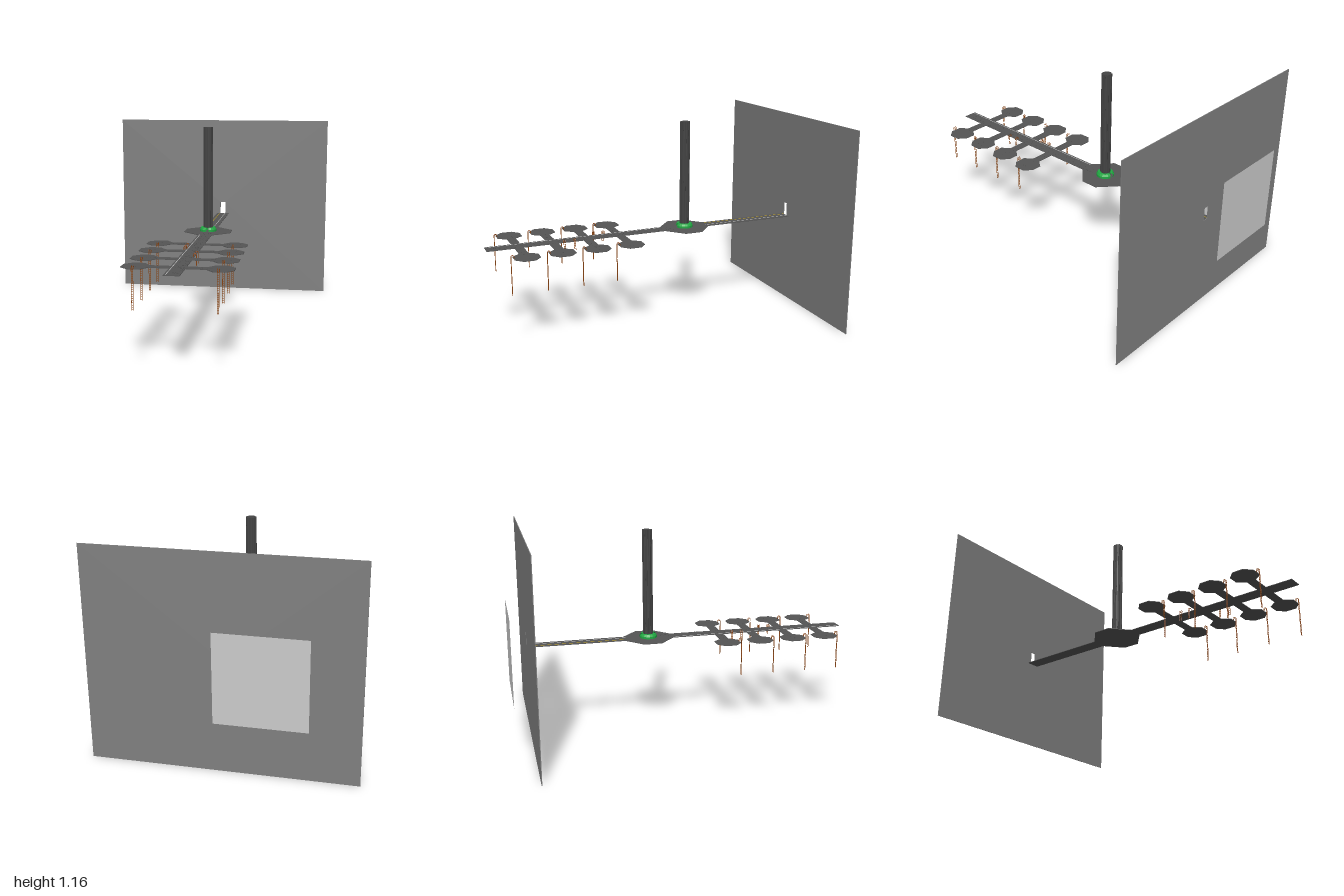
import * as THREE from 'three';
import { mergeGeometries } from 'three/addons/utils/BufferGeometryUtils.js';

const DECK_Y = 0.528, DECK_T = 0.003;
const WALL_Z = -0.895, HUB_Z = -0.2;
const BRANCH_Z = [0.217, 0.413, 0.611, 0.807];

const paint = (color, side = THREE.FrontSide) =>
  new THREE.MeshStandardMaterial({ color, side, flatShading: true });

function addMesh(parent, name, geometry, material) {
  const mesh = new THREE.Mesh(geometry, material);
  mesh.name = name;
  parent.add(mesh);
  return mesh;
}

// One half of the deck outline, walked from the wall to the front end
function halfOutline() {
  const pts = [[0.04, WALL_Z], [0.04, HUB_Z - 0.14], [0.14, HUB_Z - 0.05],
    [0.14, HUB_Z + 0.05], [0.04, HUB_Z + 0.14]];
  for (const z of BRANCH_Z) {
    pts.push([0.04, z - 0.025], [0.145, z - 0.025], [0.18, z - 0.07], [0.24, z - 0.07],
      [0.282, z - 0.032], [0.282, z + 0.032], [0.24, z + 0.07], [0.18, z + 0.07],
      [0.145, z + 0.025], [0.04, z + 0.025]);
  }
  pts.push([0.04, 0.983]);
  return pts;
}

function deckGeometry() {
  const half = halfOutline();
  const other = half.map(([x, z]) => [-x, z]).reverse();
  const shape = new THREE.Shape([...half, ...other].map(([x, z]) => new THREE.Vector2(x, -z)));
  const geo = new THREE.ExtrudeGeometry(shape, { depth: DECK_T, bevelEnabled: false });
  return geo.rotateX(-Math.PI / 2).translate(0, DECK_Y - DECK_T, 0);
}

// Ladder whose two rails hook backwards over a deck edge
function ladderGeometry(bottom) {
  const parts = [];
  const path = new THREE.CurvePath();
  const p = [[bottom, 0], [0.537, 0], [0.544, -0.004], [0.544, -0.012], [0.537, -0.016], [DECK_Y, -0.016]]
    .map(([y, z]) => new THREE.Vector3(0, y, z));
  for (let i = 1; i < p.length; i++) path.add(new THREE.LineCurve3(p[i - 1], p[i]));
  for (const x of [-0.0045, 0.0045]) {
    for (const line of path.curves) {
      parts.push(new THREE.TubeGeometry(line, 1, 0.0014, 5).translate(x, 0, 0));
    }
  }
  for (let y = bottom + 0.006; y < 0.535; y += 0.011) {
    parts.push(new THREE.BoxGeometry(0.009, 0.002, 0.002).translate(0, y, 0));
  }
  return mergeGeometries(parts);
}

// Small flat stones scattered over one side of the walkway and the arms
function rubbleGeometry() {
  let seed = 7;
  const rand = () => (seed = (seed * 16807) % 2147483647) / 2147483647;
  const parts = [];
  const stone = (x, z) => {
    const s = 0.002 + 0.003 * rand();
    parts.push(new THREE.BoxGeometry(s, 0.0015, s).rotateY(rand() * 3)
      .translate(x, DECK_Y + 0.0005, z));
  };
  for (let i = 0; i < 260; i++) stone(-0.012 + 0.048 * rand(), -0.14 + 1.11 * rand());
  for (const z of BRANCH_Z) {
    for (let i = 0; i < 30; i++) stone((rand() - 0.5) * 0.5, z + (rand() - 0.5) * 0.04);
  }
  return mergeGeometries(parts);
}

export function createModel() {
  const root = new THREE.Group();
  root.name = 'skyPlatform';
  const deckGrey = paint(0x555555), wallGrey = paint(0x808080);
  const green = paint(0x22aa44, THREE.DoubleSide), dark = paint(0x444444);
  const brown = paint(0x8b4513), yellow = paint(0xccaa22), pale = paint(0xcccccc);

  // Back wall with a small doorway
  const wall = new THREE.Shape([[-0.7, 0], [0.7, 0], [0.7, 1.163], [-0.7, 1.163]]
    .map(([x, y]) => new THREE.Vector2(x, y)));
  wall.holes.push(new THREE.Path([[-0.016, DECK_Y], [-0.016, 0.605], [0.016, 0.605], [0.016, DECK_Y]]
    .map(([x, y]) => new THREE.Vector2(x, y))));
  addMesh(root, 'backWall', new THREE.ExtrudeGeometry(wall, { depth: 0.004, bevelEnabled: false }), wallGrey)
    .position.z = WALL_Z - 0.002;

  // Free-standing panel behind the wall, facing backwards
  const panel = addMesh(root, 'rearPanel', new THREE.PlaneGeometry(0.472, 0.476), pale);
  panel.position.set(-0.217, 0.562, -1);
  panel.rotation.y = Math.PI;

  // Walkway, hub and side pads
  addMesh(root, 'deck', deckGeometry(), deckGrey);
  addMesh(root, 'rubble', rubbleGeometry(), deckGrey);

  // Painted lines
  const line = (name, x, z0, z1, material) =>
    addMesh(root, name, new THREE.BoxGeometry(0.003, 0.001, z1 - z0), material)
      .position.set(x, DECK_Y + 0.0003, (z0 + z1) / 2);
  line('yellowLine', -0.021, WALL_Z, HUB_Z - 0.13, yellow);
  line('paleLine', 0.016, WALL_Z, HUB_Z - 0.13, pale);
  line('frontLine', -0.029, HUB_Z + 0.14, 0.98, pale);

  // Fluted tower
  const tower = new THREE.Group();
  tower.name = 'tower';
  tower.position.z = HUB_Z;
  root.add(tower);
  const columns = [new THREE.CylinderGeometry(0.026, 0.026, 0.605, 12)];
  for (let i = 0; i < 10; i++) {
    const a = (i / 10) * Math.PI * 2;
    columns.push(new THREE.CylinderGeometry(0.005, 0.005, 0.605, 6)
      .translate(Math.sin(a) * 0.0245, 0, Math.cos(a) * 0.0245));
  }
  addMesh(tower, 'column', mergeGeometries(columns), dark).position.y = 0.8525;

  // Green collar in two halves, open at front and back
  const profile = [[0.03, DECK_Y], [0.05, DECK_Y], [0.05, 0.54], [0.043, 0.552], [0.028, 0.552], [0.03, DECK_Y]]
    .map(([r, y]) => new THREE.Vector2(r, y));
  for (const start of [0.18, Math.PI + 0.18]) {
    addMesh(tower, 'collar', new THREE.LatheGeometry(profile, 8, start, Math.PI - 0.36), green);
  }

  // Long ladders below each side pad
  const longLadder = ladderGeometry(0.323);
  for (const z of BRANCH_Z) {
    for (const x of [-0.21, 0.21]) {
      addMesh(root, 'longLadder', longLadder, brown).position.set(x, 0, z + 0.084);
    }
  }

  // Short ladders on the walkway edges
  const shortLadder = ladderGeometry(0.48);
  for (const [side, z] of [[-1, 0.295], [-1, 0.353], [1, 0.492], [1, 0.552]]) {
    const ladder = addMesh(root, 'shortLadder', shortLadder, brown);
    ladder.position.set(side * 0.05, 0, z);
    ladder.rotation.y = side * Math.PI / 2;
  }
  return root;
}
